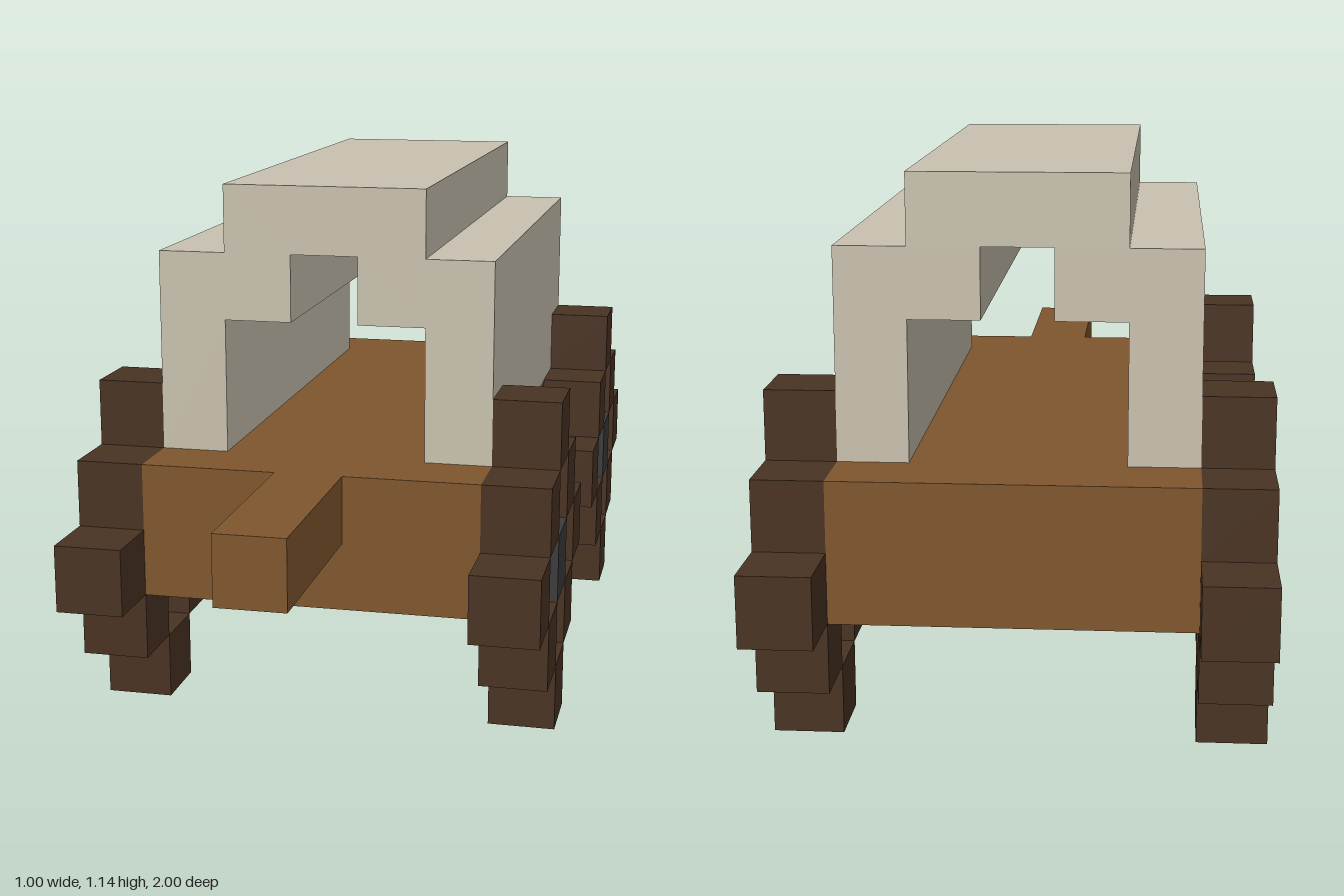
import * as THREE from 'three';

const U = 1 / 7; // one block

const paint = (name, color) => {
  const m = new THREE.MeshStandardMaterial({ color });
  m.name = name;
  return m;
};

export function createModel() {
  const wood = paint('wood', 0x7f562d);
  const darkWood = paint('darkWood', 0x493323);
  const canvas = paint('canvas', 0xc9c1af);
  const iron = paint('iron', 0x3b3b3b);

  const wagon = new THREE.Group();
  wagon.name = 'coveredWagon';

  // Box given by its size and centre, in blocks
  const block = (parent, name, material, size, centre) => {
    const mesh = new THREE.Mesh(new THREE.BoxGeometry(...size.map(v => v * U)), material);
    mesh.position.set(...centre.map(v => v * U));
    mesh.name = name;
    parent.add(mesh);
  };

  // Bed and the pole at the front
  block(wagon, 'bed', wood, [5, 2, 10], [0, 3, -1]);
  block(wagon, 'pole', wood, [1, 1, 3], [0, 3.5, 5.5]);

  // Stepped canvas arch, open at both ends
  const half = [[0.5, 7], [0.5, 6], [1.5, 6], [1.5, 4], [2.5, 4], [2.5, 7], [1.5, 7], [1.5, 8]];
  const outline = [...half, ...half.map(([x, y]) => [-x, y]).reverse()];
  const arch = new THREE.Shape(outline.map(([x, y]) => new THREE.Vector2(x * U, y * U)));
  const cover = new THREE.Mesh(
    new THREE.ExtrudeGeometry(arch, { depth: 8 * U, bevelEnabled: false }), canvas);
  cover.position.z = -5 * U;
  cover.name = 'cover';
  wagon.add(cover);

  // Wheels: a diamond ring of blocks around a hub
  for (const side of [1, -1]) {
    for (const [end, z] of [['front', 2.5], ['back', -4.5]]) {
      const wheel = new THREE.Group();
      wheel.name = `${end}${side > 0 ? 'Left' : 'Right'}Wheel`;
      wheel.position.set(side * 3 * U, 2.5 * U, z * U);
      block(wheel, 'hub', iron, [1, 1, 1], [0, 0, 0]);
      for (let dy = -2; dy <= 2; dy++) {
        const reach = 2 - Math.abs(dy);
        for (const dz of new Set([reach, -reach])) {
          block(wheel, 'rimBlock', darkWood, [1, 1, 1], [0, dy, dz]);
        }
      }
      wagon.add(wheel);
    }
  }

  return wagon;
}
